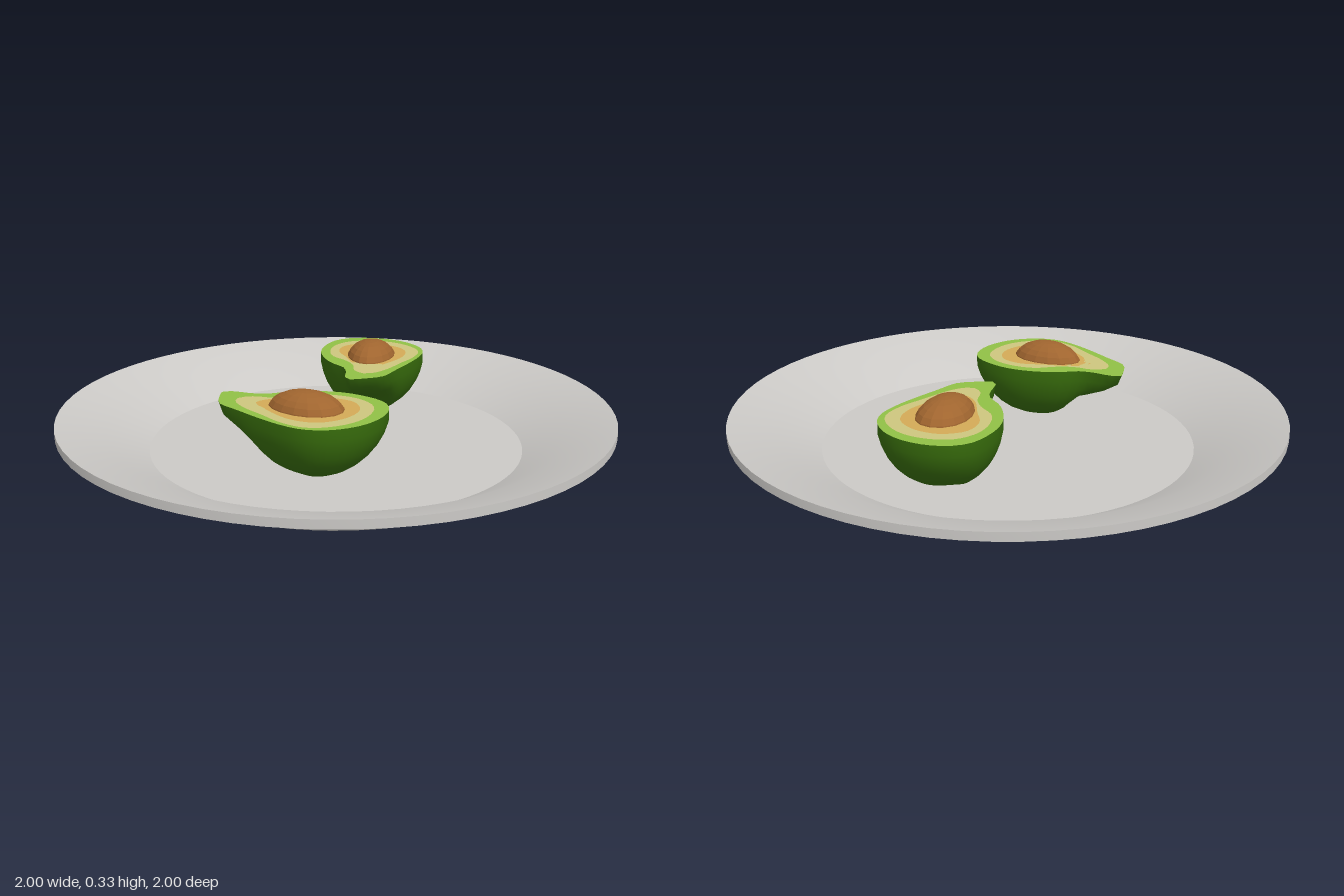
import * as THREE from 'three';
import { toCreasedNormals } from 'three/addons/utils/BufferGeometryUtils.js';

const paint = (name, color, side = THREE.FrontSide) => {
  const m = new THREE.MeshStandardMaterial({ color, side });
  m.name = name;
  return m;
};

const TOP = 0.265, FLOOR = 0.04;   // cut face and plate floor heights
const SEED = [-0.28, 0.15];        // seed position of the first half

// Closed outlines (x, z) seen from above, relative to the seed
const SKIN = [[-0.10, -0.34], [-0.07, -0.325], [-0.035, -0.26], [0, -0.215], [0.085, -0.175],
  [0.165, -0.105], [0.215, -0.03], [0.24, 0.06], [0.24, 0.135], [0.21, 0.19], [0.16, 0.23],
  [0.095, 0.255], [0.02, 0.262], [-0.055, 0.245], [-0.12, 0.205], [-0.16, 0.15], [-0.18, 0.07],
  [-0.187, -0.03], [-0.187, -0.145], [-0.187, -0.235], [-0.165, -0.275], [-0.135, -0.305]];
const PALE = [[-0.10, -0.24], [-0.05, -0.22], [-0.01, -0.16], [0.045, -0.12], [0.12, -0.09],
  [0.17, -0.03], [0.198, 0.055], [0.18, 0.14], [0.12, 0.193], [0.03, 0.22], [-0.065, 0.203],
  [-0.135, 0.15], [-0.16, 0.055], [-0.155, -0.04], [-0.15, -0.145], [-0.13, -0.215]];
const GOLD = [[-0.085, -0.16], [-0.04, -0.16], [0, -0.14], [0.07, -0.075], [0.14, -0.01],
  [0.16, 0.07], [0.11, 0.145], [0.015, 0.171], [-0.075, 0.14], [-0.118, 0.055], [-0.112, -0.065]];

const smooth = (pts, n = 48) => new THREE.CatmullRomCurve3(
  pts.map(([x, z]) => new THREE.Vector3(x, 0, z)), true).getSpacedPoints(n).slice(0, n);

// Horizontal band between two outlines
function band(outer, inner) {
  const flat = pts => pts.map(p => new THREE.Vector2(p.x, -p.z));
  const shape = new THREE.Shape(flat(outer));
  if (inner) shape.holes.push(new THREE.Path(flat(inner)));
  return new THREE.ShapeGeometry(shape).rotateX(-Math.PI / 2).translate(0, TOP, 0);
}

// Rounded underside: rings shrink towards the bottom, fastest at the neck
function skinGeometry(outline) {
  const rings = 9, n = outline.length, pos = [], index = [];
  const cx = 0.02, cz = 0.03, depth = TOP - FLOOR;
  for (let j = 0; j <= rings; j++) {
    const a = (j / rings) * Math.PI / 2;
    for (const p of outline) {
      const k = 0.9 + 3 * THREE.MathUtils.smoothstep(Math.hypot(p.x - cx, p.z - cz), 0.22, 0.38);
      const s = j === 0 ? 0.985 : Math.pow(Math.max(Math.cos(a * 0.999), 0), k);
      const r = j === 1 ? Math.max(s, 0.94) : s;
      pos.push(cx + (p.x - cx) * r, TOP - depth * Math.sin(a), cz + (p.z - cz) * r);
    }
  }
  for (let j = 0; j < rings; j++) {
    for (let i = 0; i < n; i++) {
      const a = j * n + i, b = j * n + (i + 1) % n;
      index.push(a, b, a + n, b, b + n, a + n);
    }
  }
  const g = new THREE.BufferGeometry();
  g.setAttribute('position', new THREE.Float32BufferAttribute(pos, 3));
  g.setIndex(index);
  g.computeVertexNormals();
  return g;
}

// Egg-shaped, faceted seed, narrower towards the neck
function seedGeometry() {
  const g = new THREE.SphereGeometry(1, 16, 12);
  const p = g.attributes.position;
  for (let i = 0; i < p.count; i++) p.setX(i, p.getX(i) * (1 + 0.12 * p.getZ(i)));
  g.scale(0.095, 0.077, 0.14).rotateY(0.38).translate(0, 0.249, 0);
  const faceted = g.toNonIndexed();
  faceted.computeVertexNormals();
  return faceted;
}

export function createModel() {
  const model = new THREE.Group();
  model.name = 'avocadoPlate';
  const mats = {
    plate: paint('plate grey', 0xcbc9c6),
    skin: paint('dark green skin', 0x376b0c, THREE.DoubleSide),
    green: paint('green flesh', 0x90c046),
    pale: paint('pale flesh', 0xcdc67e),
    gold: paint('golden flesh', 0xd4aa57),
    seed: paint('brown seed', 0xa0652f),
  };
  const add = (parent, name, geometry, material) => {
    const mesh = new THREE.Mesh(geometry, material);
    mesh.name = name;
    parent.add(mesh);
  };

  // Plate
  const profile = [[0, 0], [0.7, 0], [0.85, 0.085], [1, 0.145], [1, 0.175],
    [0.83, 0.122], [0.68, FLOOR], [0, FLOOR]].map(([x, y]) => new THREE.Vector2(x, y));
  add(model, 'plate', toCreasedNormals(new THREE.LatheGeometry(profile, 72), 0.25), mats.plate);

  // Two identical avocado halves, the second turned and moved
  const skin = smooth(SKIN), pale = smooth(PALE), gold = smooth(GOLD);
  const cut = skin.map(p => new THREE.Vector3(0.02 + (p.x - 0.02) * 0.985, 0, 0.03 + (p.z - 0.03) * 0.985));
  const parts = [
    ['skin', skinGeometry(skin), mats.skin],
    ['greenFlesh', band(cut, pale), mats.green],
    ['paleFlesh', band(pale, gold), mats.pale],
    ['goldenFlesh', band(gold), mats.gold],
    ['seed', seedGeometry(), mats.seed],
  ];
  const places = [
    ['rightAvocadoHalf', SEED[0], SEED[1], 0],
    ['leftAvocadoHalf', 0.35, -0.17, THREE.MathUtils.degToRad(106)],
  ];
  for (const [name, x, z, turn] of places) {
    const half = new THREE.Group();
    half.name = name;
    half.position.set(x, 0, z);
    half.rotation.y = turn;
    for (const part of parts) add(half, ...part);
    model.add(half);
  }
  return model;
}
